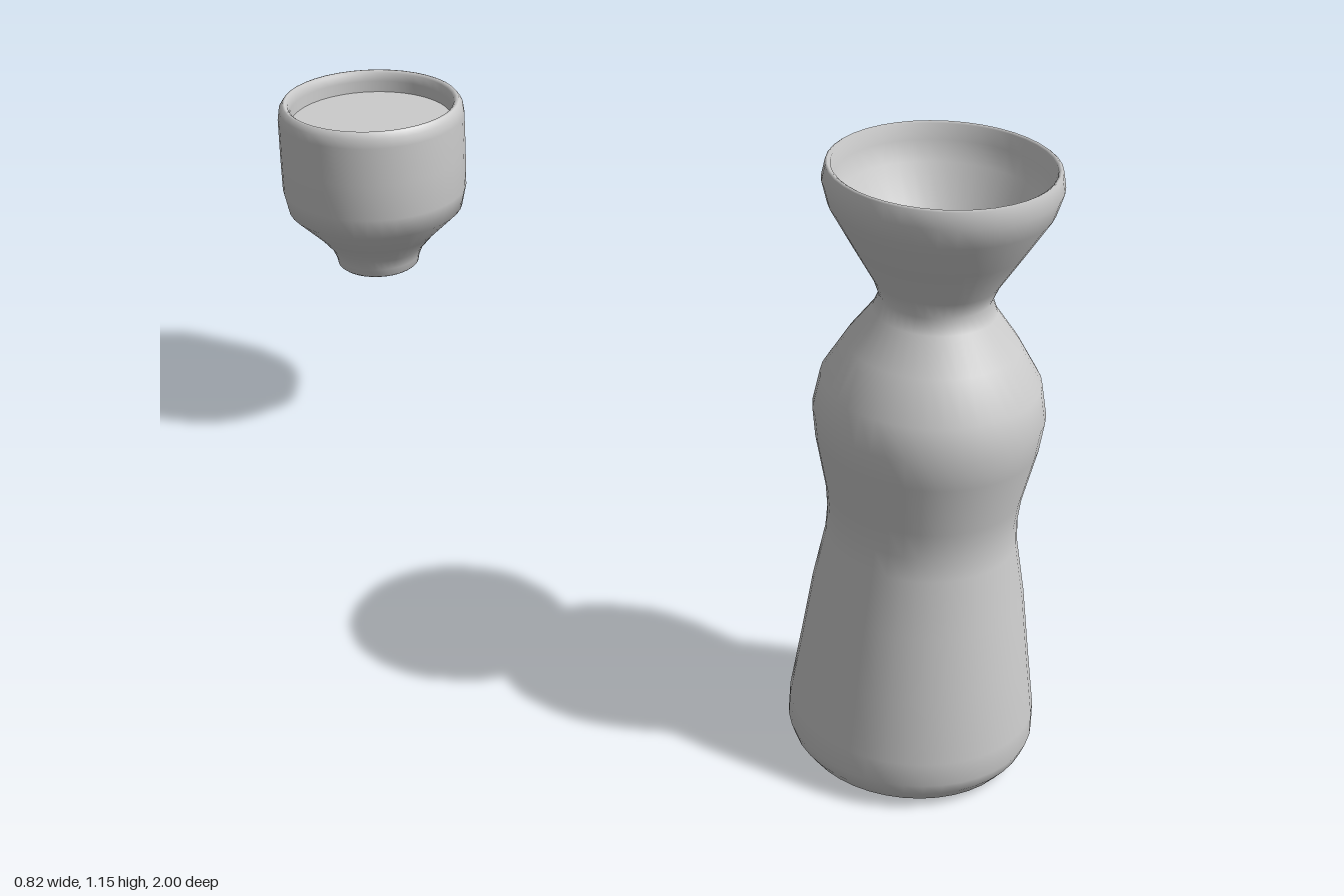
import * as THREE from 'three';

const SEGMENTS = 40;
const material = new THREE.MeshStandardMaterial({ color: 0xcccccc });

// Surface of revolution; the profile runs up the outside and down the inside
function turned(name, profile) {
  const points = profile.map(([r, y]) => new THREE.Vector2(r, y));
  const mesh = new THREE.Mesh(new THREE.LatheGeometry(points, SEGMENTS), material);
  mesh.name = name;
  return mesh;
}

// Flat horizontal disc facing up or down
function disc(name, radius, y, up = true) {
  const mesh = new THREE.Mesh(new THREE.CircleGeometry(radius, SEGMENTS), material);
  mesh.rotation.x = up ? -Math.PI / 2 : Math.PI / 2;
  mesh.position.y = y;
  mesh.name = name;
  return mesh;
}

function createBottle() {
  const bottle = new THREE.Group();
  bottle.name = 'bottle';
  bottle.add(
    turned('bottleBody', [
      // outside: foot, waist, shoulder, neck, flared mouth
      [0.175, 0.003], [0.195, 0.013], [0.213, 0.036], [0.222, 0.06], [0.221, 0.105],
      [0.204, 0.225], [0.188, 0.345], [0.169, 0.45], [0.167, 0.495], [0.172, 0.545],
      [0.194, 0.645], [0.201, 0.7], [0.19, 0.76], [0.149, 0.83], [0.106, 0.89],
      [0.096, 0.917], [0.108, 0.948], [0.15, 1.018], [0.19, 1.086], [0.201, 1.125],
      [0.196, 1.153], [0.192, 1.156],
      // inside: rim down to below the drink
      [0.187, 1.153], [0.182, 1.125], [0.172, 1.088], [0.13, 1.016], [0.09, 0.95],
    ]),
    disc('bottleDrink', 0.131, 1.016),
    disc('bottleBase', 0.176, 0.003, false),
  );
  bottle.position.set(0.185, 0, 0.778);
  return bottle;
}

function createCup() {
  const cup = new THREE.Group();
  cup.name = 'cup';
  cup.add(
    turned('cupBody', [
      // hollow under the foot
      [0, 0.44], [0.055, 0.438], [0.068, 0.43], [0.074, 0.414], [0.083, 0.413],
      // outside: foot, sloping bowl, straight wall, rim
      [0.089, 0.418], [0.092, 0.434], [0.102, 0.458], [0.13, 0.492], [0.191, 0.553],
      [0.201, 0.6], [0.202, 0.68], [0.202, 0.765], [0.199, 0.785], [0.191, 0.797],
      [0.186, 0.798],
      // inside wall
      [0.18, 0.793], [0.176, 0.775], [0.174, 0.6],
    ]),
    disc('cupDrink', 0.176, 0.75),
  );
  cup.position.set(-0.207, 0, -0.798);
  return cup;
}

export function createModel() {
  const model = new THREE.Group();
  model.name = 'bottleAndCup';
  model.add(createBottle(), createCup());
  return model;
}
